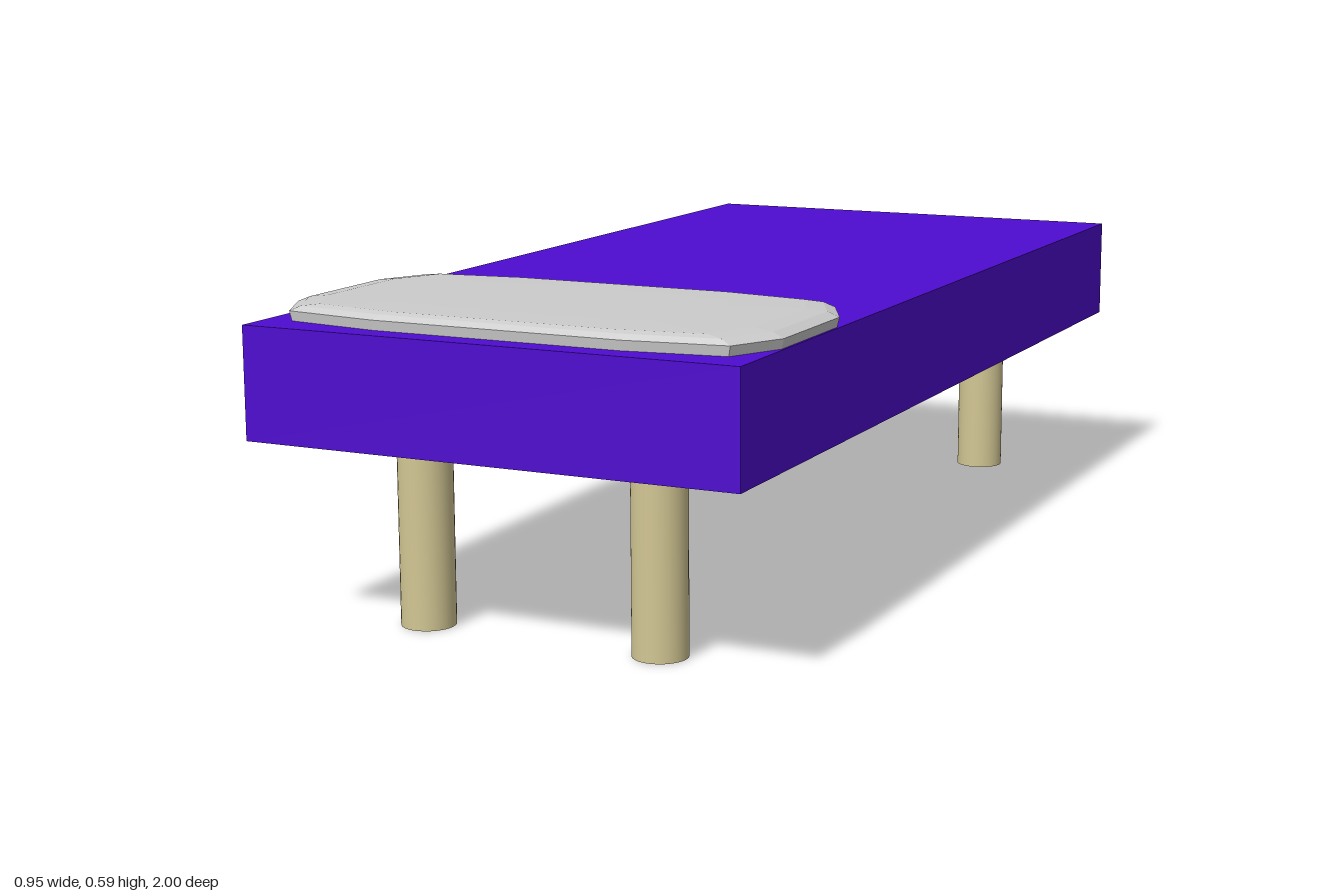
import * as THREE from 'three';

const purple = new THREE.MeshStandardMaterial({ color: 0x4e0cd0 });
const wood = new THREE.MeshStandardMaterial({ color: 0xd3c794 });
const grey = new THREE.MeshStandardMaterial({ color: 0xcccccc, flatShading: true });

// Cushion built from stacked copies of one mirrored outline, capped at both ends
function pillowGeometry() {
  const quarter = [[0.475, 0.12], [0.425, 0.22], [0.24, 0.245]];
  const back = [...quarter].reverse();
  const outline = [
    ...quarter,
    ...back.map(([x, z]) => [-x, z]),
    ...quarter.map(([x, z]) => [-x, -z]),
    ...back.map(([x, z]) => [x, -z]),
  ];
  // [height, x scale, z scale]
  const rings = [
    [0.53, 0.93, 0.93], [0.553, 0.99, 0.99], [0.573, 1, 1],
    [0.582, 0.955, 0.965], [0.586, 0.88, 0.91], [0.588, 0.6, 0.6],
  ];
  const n = outline.length, last = rings.length - 1;
  const positions = [], index = [];
  for (const [y, sx, sz] of rings)
    for (const [x, z] of outline) positions.push(x * sx, y, z * sz);
  const bottom = positions.length / 3, top = bottom + 1;
  positions.push(0, rings[0][0], 0, 0, rings[last][0], 0);
  for (let i = 0; i < n; i++) {
    const j = (i + 1) % n;
    for (let r = 0; r < last; r++) {
      const a = r * n + i, b = r * n + j;
      index.push(a, a + n, b, b, a + n, b + n);
    }
    index.push(bottom, i, j, top, last * n + j, last * n + i);
  }
  const g = new THREE.BufferGeometry();
  g.setAttribute('position', new THREE.Float32BufferAttribute(positions, 3));
  g.setIndex(index);
  g.computeVertexNormals();
  return g;
}

export function createModel() {
  const bed = new THREE.Group();
  bed.name = 'bed';
  const add = (name, geometry, material, x, y, z) => {
    const mesh = new THREE.Mesh(geometry, material);
    mesh.name = name;
    mesh.position.set(x, y, z);
    bed.add(mesh);
  };

  // Mattress block
  add('mattress', new THREE.BoxGeometry(0.95, 0.206, 2), purple, 0, 0.452, 0);

  // Four round legs
  const leg = new THREE.CylinderGeometry(0.05, 0.05, 0.36, 32);
  for (const [end, z] of [['front', 0.817], ['back', -0.85]])
    for (const [side, x] of [['Left', 0.24], ['Right', -0.225]])
      add(`${end}${side}Leg`, leg, wood, x, 0.18, z);

  // Pillow near the front end
  add('pillow', pillowGeometry(), grey, 0, 0, 0.71);
  return bed;
}
